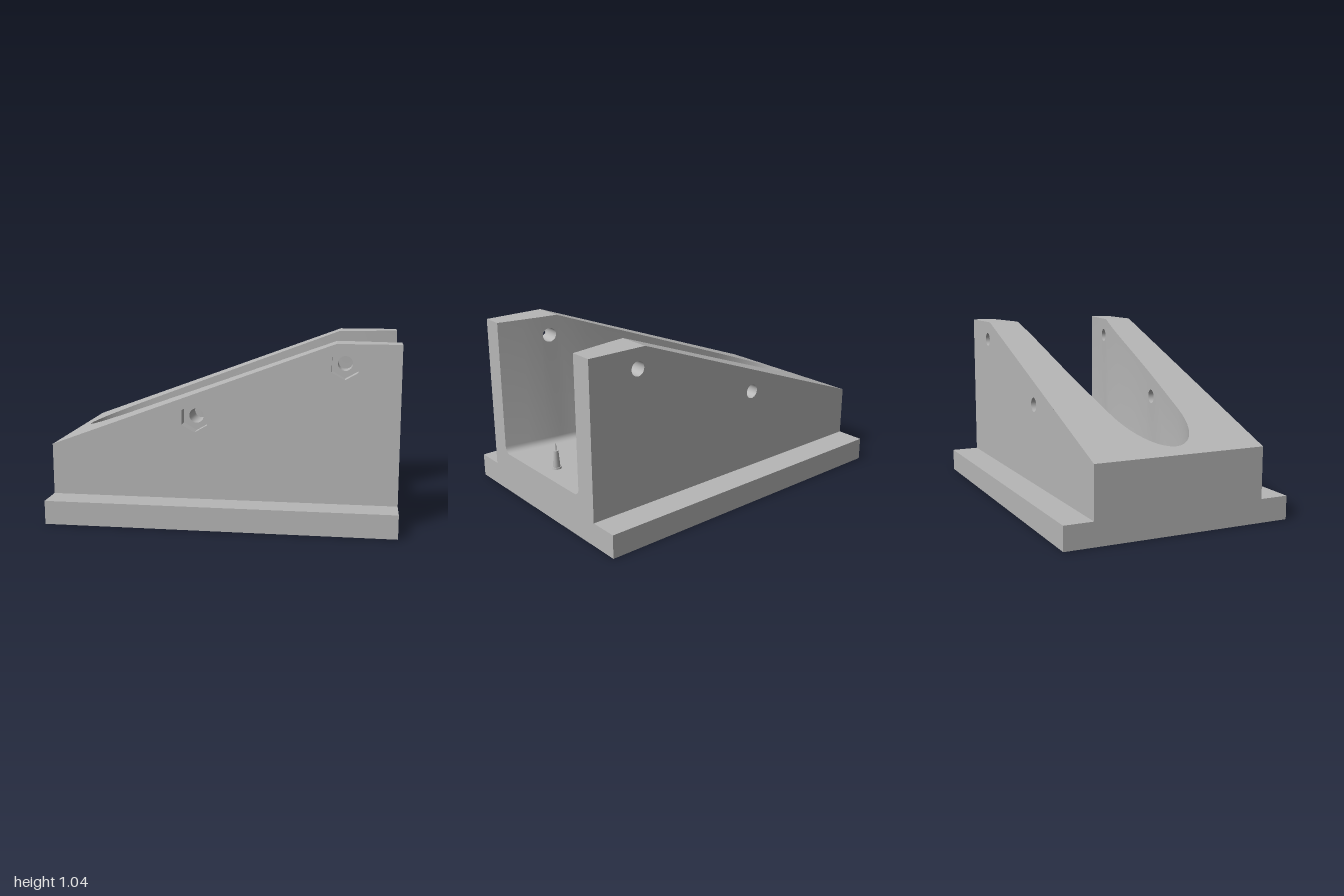
import * as THREE from 'three';
import { toCreasedNormals } from 'three/addons/utils/BufferGeometryUtils.js';

const HALF = 0.51, BASE = 0.137, FLOOR = 0.245, R = 0.04, STEPS = 5, ZC = 0.007;
const HEX_R = 0.085, HOLE_R = 0.042, POCKET = 0.07;
const HOLES = [[-0.155, 0.613], [0.69, 0.93]];
const topY = (x) => Math.min(1.045, 0.435 + (x + 1) * 0.372);

// Cavity half outline (x, half width): elliptical nose, then gently flaring walls
const outline = [];
for (let a = 0; a <= 80; a += 8) {
  const t = THREE.MathUtils.degToRad(a);
  outline.push([-0.47 - 0.45 * Math.cos(t), 0.222 * Math.sin(t)]);
}
outline.push([-0.4, 0.234], [-0.22, 0.252], [-0.09, 0.264], [0.1, 0.278], [0.3, 0.292],
  [0.45, 0.303], [0.55, 0.314], [0.64, 0.325], [0.74, 0.338], [0.85, 0.356], [1, 0.383]);
const N = outline.length - 1;

function halfWidth(x) {
  let i = 0;
  while (i < N - 1 && outline[i + 1][0] < x) i++;
  const [x0, w0] = outline[i], [x1, w1] = outline[i + 1];
  return w0 + (w1 - w0) * (x - x0) / (x1 - x0);
}

// Point on the floor fillet: side s, outline index i, step j from wall to floor
function fillet(s, i, j) {
  const a = (j / STEPS) * Math.PI / 2;
  const d = R * (1 - Math.cos(a));
  let nx = 0, nz = -1;
  if (i === 0) { nx = 1; nz = 0; }
  else if (i < N) {
    const tx = outline[i + 1][0] - outline[i - 1][0], tz = outline[i + 1][1] - outline[i - 1][1];
    const l = Math.hypot(tx, tz);
    nx = tz / l; nz = -tx / l;
  }
  return [outline[i][0] + nx * d, FLOOR + R * (1 - Math.sin(a)), ZC + s * (outline[i][1] + nz * d)];
}

function quad(out, a, b, c, d, flip = false) {
  if (flip) out.push(...a, ...c, ...b, ...a, ...d, ...c);
  else out.push(...a, ...b, ...c, ...a, ...c, ...d);
}

const vec = (pts) => pts.map(([x, y]) => new THREE.Vector2(x, y));

// Triangulates an outline with holes and maps it into space
function face(out, pts, holes, map, flip = false) {
  const shape = new THREE.Shape(vec(pts));
  holes.forEach((h) => shape.holes.push(new THREE.Path(vec(h))));
  const p = new THREE.ShapeGeometry(shape).toNonIndexed().attributes.position;
  for (let i = 0; i < p.count; i += 3) {
    for (const k of flip ? [0, 2, 1] : [0, 1, 2]) out.push(...map(p.getX(i + k), p.getY(i + k)));
  }
}

function ring([cx, cy], r, n) {
  return Array.from({ length: n }, (_, k) => {
    const a = (k / n) * Math.PI * 2 + Math.PI / 2;
    return [cx + r * Math.cos(a), cy + r * Math.sin(a)];
  });
}

// Inward-facing tube along z between two depth functions
function bore(out, pts, zFront, zBack) {
  pts.forEach((p, k) => {
    const q = pts[(k + 1) % pts.length];
    quad(out, [...p, zFront(p[0])], [...q, zFront(q[0])], [...q, zBack(q[0])], [...p, zBack(p[0])]);
  });
}

export function createModel() {
  const model = new THREE.Group();
  const grey = new THREE.MeshStandardMaterial({ color: 0xb6b6b6, side: THREE.DoubleSide });
  grey.name = 'plainGrey';

  function add(name, geometry, x = 0, y = 0, z = 0, parent = model) {
    const mesh = new THREE.Mesh(geometry, grey);
    mesh.name = name;
    mesh.position.set(x, y, z);
    parent.add(mesh);
    return mesh;
  }
  function addTriangles(name, positions, crease) {
    const g = new THREE.BufferGeometry();
    g.setAttribute('position', new THREE.Float32BufferAttribute(positions, 3));
    add(name, toCreasedNormals(g, crease));
  }

  // Base plate
  add('basePlate', new THREE.BoxGeometry(2, BASE, 1.36), 0, BASE / 2, 0);

  // Outer side faces with hex recesses in front and round holes behind
  const circles = HOLES.map((h) => ring(h, HOLE_R, 24));
  const hexes = HOLES.map((h) => ring(h, HEX_R, 6));
  const side = [[-1, BASE], [1, BASE], [1, 1.045], [0.64, 1.045], [-1, 0.435]];
  const shell = [];
  face(shell, side, hexes, (x, y) => [x, y, HALF]);
  face(shell, side, circles, (x, y) => [x, y, -HALF], true);

  // Low end face
  quad(shell, [-1, BASE, -HALF], [-1, BASE, HALF], [-1, 0.435, HALF], [-1, 0.435, -HALF]);

  // Open U-shaped end face
  const u = [[-HALF, BASE], [HALF, BASE], [HALF, 1.045], [outline[N][1] - ZC, 1.045]];
  const arc = (s, j) => { const p = fillet(s, N, j); return [-p[2], p[1]]; };
  for (let j = 0; j <= STEPS; j++) u.push(arc(-1, j));
  for (let j = STEPS; j >= 0; j--) u.push(arc(1, j));
  u.push([-outline[N][1] - ZC, 1.045], [-HALF, 1.045]);
  face(shell, u, [], (a, y) => [1, y, -a]);

  // Sloping top around the cavity
  const nose = outline[0][0];
  quad(shell, [-1, topY(-1), -HALF], [-1, topY(-1), HALF], [nose, topY(nose), HALF], [nose, topY(nose), -HALF]);
  for (const s of [1, -1]) {
    for (let i = 0; i < N; i++) {
      const [x0, w0] = outline[i], [x1, w1] = outline[i + 1];
      quad(shell, [x0, topY(x0), ZC + s * w0], [x0, topY(x0), s * HALF],
        [x1, topY(x1), s * HALF], [x1, topY(x1), ZC + s * w1], s < 0);
    }
  }
  addTriangles('wedgeBody', shell, 0.1);

  // Cavity walls, floor fillet and floor
  const cavity = [];
  for (let i = 0; i < N; i++) {
    const x0 = outline[i][0], x1 = outline[i + 1][0], y0 = FLOOR + R;
    const cut = circles.filter((c, k) => HOLES[k][0] > x0 && HOLES[k][0] < x1);
    for (const s of [1, -1]) {
      face(cavity, [[x0, y0], [x1, y0], [x1, topY(x1)], [x0, topY(x0)]], cut,
        (x, y) => [x, y, ZC + s * halfWidth(x)], s > 0);
      for (let j = 0; j < STEPS; j++) {
        quad(cavity, fillet(s, i, j), fillet(s, i, j + 1), fillet(s, i + 1, j + 1), fillet(s, i + 1, j), s > 0);
      }
    }
    quad(cavity, fillet(1, i, STEPS), fillet(1, i + 1, STEPS), fillet(-1, i + 1, STEPS), fillet(-1, i, STEPS));
  }
  addTriangles('cavity', cavity, 0.6);

  // Bolt holes and nut recesses
  const bolts = [];
  circles.forEach((c, k) => {
    const seat = HALF - POCKET;
    bore(bolts, hexes[k], () => HALF, () => seat);
    face(bolts, hexes[k], [c], (x, y) => [x, y, seat]);
    bore(bolts, c, () => seat, (x) => ZC + halfWidth(x));
    bore(bolts, c, (x) => ZC - halfWidth(x), () => -HALF);
  });
  addTriangles('boltHoles', bolts, 0.6);

  // Thin cross lines on the floor
  for (const x of [-0.57, -0.23, 0.435]) {
    add('floorLine', new THREE.BoxGeometry(0.012, 0.006, 2 * halfWidth(x) - 0.02), x, FLOOR, ZC);
  }

  // Small floor studs near the nose
  add('smallStud', new THREE.CylinderGeometry(0.018, 0.018, 0.006, 16), -0.525, FLOOR, ZC);
  add('ringStud', new THREE.CylinderGeometry(0.024, 0.024, 0.006, 20), -0.41, FLOOR, ZC);

  // Row of pointed pins along the floor
  for (const x of [-0.175, 0.185, 0.53, 0.89]) {
    const pin = new THREE.Group();
    pin.name = 'floorPin';
    pin.position.set(x, FLOOR, ZC);
    pin.scale.x = 1.2;
    add('pinFoot', new THREE.CylinderGeometry(0.023, 0.025, 0.01, 16), 0, 0.005, 0, pin);
    add('pinShaft', new THREE.CylinderGeometry(0.012, 0.019, 0.11, 16), 0, 0.055, 0, pin);
    add('pinTip', new THREE.CylinderGeometry(0.002, 0.004, 0.045, 8), 0, 0.132, 0, pin);
    model.add(pin);
  }
  return model;
}
